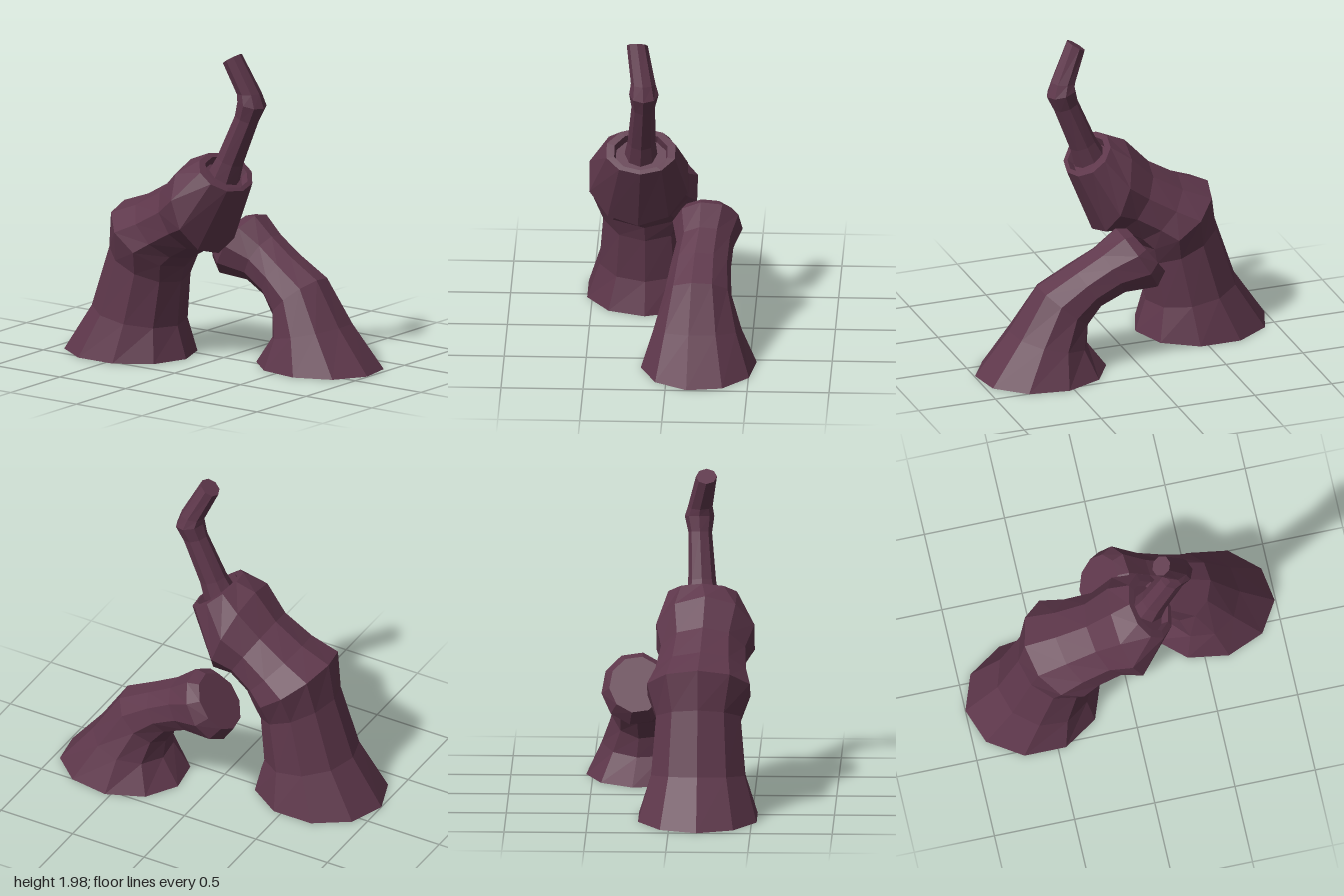
import * as THREE from 'three';

const material = new THREE.MeshStandardMaterial({
  color: 0x5e374b, flatShading: true, side: THREE.DoubleSide,
});

// Skins a row of elliptical rings. Each ring is [leftX, leftY, rightX, rightY, z, halfDepth];
// a ring with no size closes the end to a point.
function limb(name, rings, sides, phase = 0) {
  const positions = [];
  const indices = [];
  for (const [lx, ly, rx, ry, z, depth] of rings) {
    for (let j = 0; j < sides; j++) {
      const a = phase + (j / sides) * Math.PI * 2;
      const c = Math.cos(a) / 2;
      positions.push(
        (lx + rx) / 2 + (rx - lx) * c,
        (ly + ry) / 2 + (ry - ly) * c,
        z + depth * Math.sin(a),
      );
    }
  }
  for (let i = 0; i < rings.length - 1; i++) {
    const closing = rings[i + 1][5] === 0;
    for (let j = 0; j < sides; j++) {
      const k = (j + 1) % sides;
      const a = i * sides + j, b = i * sides + k;
      const c = a + sides, d = b + sides;
      indices.push(a, c, b);
      if (!closing) indices.push(b, c, d);
    }
  }
  const geometry = new THREE.BufferGeometry();
  geometry.setAttribute('position', new THREE.Float32BufferAttribute(positions, 3));
  geometry.setIndex(indices);
  geometry.computeVertexNormals();
  const mesh = new THREE.Mesh(geometry, material);
  mesh.name = name;
  return mesh;
}

export function createModel() {
  const group = new THREE.Group();
  group.name = 'bentTubes';

  // Tall trunk: flared open foot, elbow, swollen head with a recessed end
  group.add(limb('tallTrunk', [
    [-1.00, 0.00, -0.16, 0.00, 0.17, 0.38],
    [-0.80, 0.30, -0.225, 0.20, 0.17, 0.30],
    [-0.67, 0.69, -0.20, 0.48, 0.17, 0.27],
    [-0.63, 0.93, -0.17, 0.58, 0.17, 0.33],
    [-0.44, 1.00, -0.12, 0.64, 0.18, 0.29],
    [-0.25, 1.11, 0.00, 0.71, 0.19, 0.27],
    [-0.10, 1.27, 0.11, 0.71, 0.20, 0.315],
    [0.02, 1.32, 0.28, 1.12, 0.18, 0.22],
    [0.05, 1.30, 0.26, 1.14, 0.18, 0.17],
    [0.03, 1.25, 0.22, 1.11, 0.18, 0.16],
    [0.125, 1.18, 0.125, 1.18, 0.18, 0],
  ], 10));

  // Low trunk: flared open foot arching over to a blunt end
  group.add(limb('lowTrunk', [
    [0.18, 0.00, 1.00, 0.00, -0.19, 0.355],
    [0.30, 0.16, 0.78, 0.27, -0.18, 0.27],
    [0.29, 0.28, 0.60, 0.545, -0.18, 0.205],
    [0.22, 0.39, 0.39, 0.66, -0.19, 0.185],
    [0.07, 0.46, 0.23, 0.76, -0.21, 0.175],
    [-0.14, 0.47, 0.10, 0.87, -0.22, 0.215],
    [-0.20, 0.56, 0.03, 0.86, -0.215, 0.17],
    [-0.085, 0.71, -0.085, 0.71, -0.215, 0],
  ], 10, Math.PI / 18));

  // Thin bent stem rising from the head
  group.add(limb('stem', [
    [0.05, 1.25, 0.23, 1.15, 0.18, 0.10],
    [0.10, 1.33, 0.26, 1.27, 0.175, 0.085],
    [0.22, 1.60, 0.37, 1.55, 0.16, 0.072],
    [0.24, 1.69, 0.42, 1.65, 0.155, 0.09],
    [0.235, 1.73, 0.39, 1.74, 0.16, 0.075],
    [0.16, 1.91, 0.27, 1.98, 0.20, 0.064],
    [0.215, 1.945, 0.215, 1.945, 0.20, 0],
  ], 8));

  return group;
}
